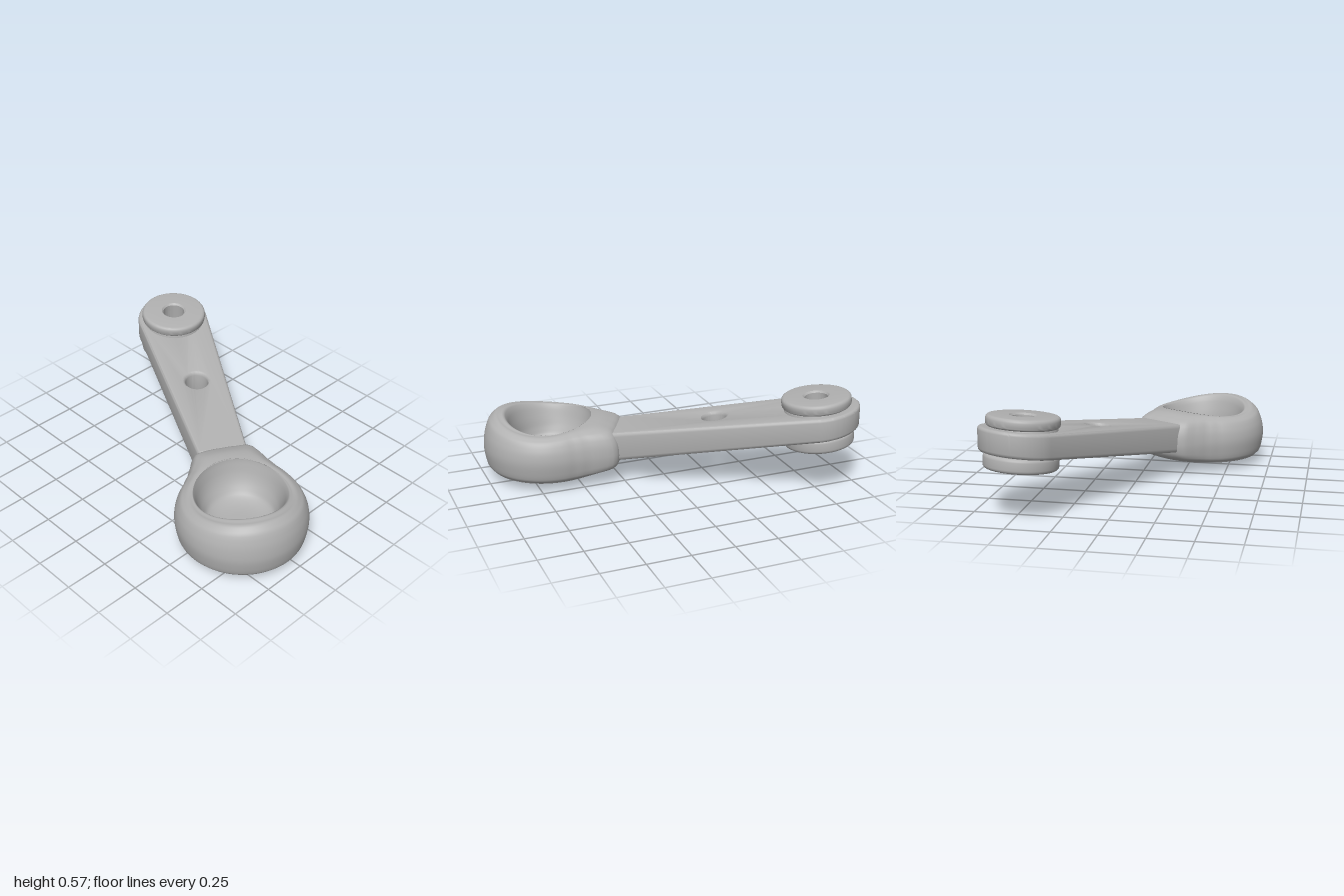
import * as THREE from 'three';
import { mergeVertices, toCreasedNormals } from 'three/addons/utils/BufferGeometryUtils.js';

const PIVOT = 1.62; // distance from the bowl centre to the pivot, along the arm (-z)

// Radius of the bowl's outline by angle from the arm, in degrees
const OUTLINE = [
  [-180, 0.37], [-50, 0.37], [-38, 0.387], [-28, 0.43], [-22, 0.475], [-19, 0.488], [-12, 0.48], [0, 0.472],
  [12, 0.482], [19, 0.5], [23, 0.495], [28, 0.462], [38, 0.405], [50, 0.376], [65, 0.37], [180, 0.37],
];

function outlineRadius(deg) {
  const i = Math.max(1, OUTLINE.findIndex(([a]) => deg <= a));
  const [a0, r0] = OUTLINE[i - 1], [a1, r1] = OUTLINE[i];
  return r0 + (r1 - r0) * (deg - a0) / (a1 - a0);
}

// Bowl: a turned profile whose outer wall is drawn out into a neck; its rim is wavy
function bowlGeometry() {
  // radius, height, share of the neck's stretch (negative: share of the hollow's shift to the arm)
  const profile = new THREE.CatmullRomCurve3([
    [0, 0.004, 0], [0.16, 0.032, 0], [0.29, 0.053, 0.1], [0.335, 0.066, 0.7], [0.36, 0.11, 1],
    [0.37, 0.185, 1], [0.363, 0.25, 1], [0.345, 0.302, 0.95], [0.312, 0.34, 0.65], [0.275, 0.35, 0],
    [0.25, 0.325, -0.8], [0.23, 0.26, -0.9], [0.205, 0.19, -0.6], [0.17, 0.145, -0.2], [0.1, 0.125, 0], [0, 0.12, 0],
  ].map((p) => new THREE.Vector3(...p)), false, 'centripetal').getPoints(75);
  const n = profile.length;
  profile[0].x = profile[n - 1].x = 0;
  const geo = new THREE.LatheGeometry(profile.map((p) => new THREE.Vector2(Math.max(p.x, 0), p.y)), 120);
  const pos = geo.attributes.position;
  for (let i = 0; i < pos.count; i++) {
    const p = profile[i % n];
    const x = pos.getX(i), z = pos.getZ(i), r = Math.hypot(x, z);
    if (r < 1e-5) continue;
    const a = Math.atan2(x, -z);
    const stretch = (outlineRadius(a * 180 / Math.PI) - 0.37) * Math.max(0, p.z);
    const shift = 0.035 * Math.max(0, -p.z);
    const wave = -0.01 * Math.cos(a) + 0.02 * Math.cos(2 * a);
    const lift = Math.max(0, (p.y - 0.2) / 0.15) * wave + (p.y < 0.2 ? stretch * 0.25 * (0.2 - p.y) / 0.13 : 0);
    pos.setXYZ(i, x * (r + stretch) / r, p.y + lift, z * (r + stretch) / r - shift);
  }
  geo.deleteAttribute('normal');
  geo.deleteAttribute('uv');
  const merged = mergeVertices(geo, 1e-4);
  merged.computeVertexNormals();
  return merged;
}

function circleHole(x, y, r) {
  return new THREE.Path().absarc(x, y, r, 0, Math.PI * 2, true);
}

// Arm: a flat bar with a round end and two holes, rising and thinning towards the pivot
function armGeometry() {
  const shape = new THREE.Shape();
  shape.moveTo(-0.138, 0.42);
  shape.lineTo(0.152, 0.42);
  shape.absarc(0, PIVOT, 0.222, -0.06, Math.PI + 0.06, false);
  shape.closePath();
  shape.holes.push(circleHole(0.003, 1.01, 0.068), circleHole(0, PIVOT, 0.085));
  const bevel = 0.14;
  const geo = new THREE.ExtrudeGeometry(shape, {
    depth: 1 - 2 * bevel, bevelThickness: bevel, bevelSize: 0.018, bevelOffset: -0.018,
    bevelSegments: 3, curveSegments: 40,
  });
  const pos = geo.attributes.position;
  for (let i = 0; i < pos.count; i++) {
    const s = pos.getY(i), h = pos.getZ(i) + bevel;
    const top = 0.328 + 0.144 * (s - 0.478);
    const bottom = 0.153 + 0.173 * (s - 0.478);
    pos.setXYZ(i, pos.getX(i), bottom + (top - bottom) * h, -s);
  }
  return toCreasedNormals(geo, 0.6);
}

// Ring with rounded outer edges and softened hole edges
function ringGeometry(outer, y0, y1, round) {
  const inner = 0.066, b = 0.01;
  const pts = [new THREE.Vector2(inner, y0 + b), new THREE.Vector2(inner + b, y0)];
  for (const [cy, from] of [[y0 + round, -Math.PI / 2], [y1 - round, 0]]) {
    for (let i = 0; i <= 4; i++) {
      const a = from + i * Math.PI / 8;
      pts.push(new THREE.Vector2(outer - round + round * Math.cos(a), cy + round * Math.sin(a)));
    }
  }
  pts.push(new THREE.Vector2(inner + b, y1), new THREE.Vector2(inner, y1 - b), pts[0].clone());
  return toCreasedNormals(new THREE.LatheGeometry(pts, 64), 0.6);
}

export function createModel() {
  const grey = new THREE.MeshStandardMaterial({ color: 0xb0b0b0 });
  grey.name = 'grey';
  const add = (parent, name, geometry) => {
    const mesh = new THREE.Mesh(geometry, grey);
    mesh.name = name;
    parent.add(mesh);
  };

  // Bowl and arm lie on one slanting line across the plan
  const lever = new THREE.Group();
  lever.name = 'lever';
  lever.position.set(-0.33, 0, 0.63);
  lever.rotation.y = -0.516;
  add(lever, 'bowl', bowlGeometry());
  add(lever, 'arm', armGeometry());

  // Pivot rings above and below the arm's end, tilted with it
  const pivot = new THREE.Group();
  pivot.name = 'pivot';
  pivot.position.set(0, 0.42, -PIVOT + 0.016);
  pivot.rotation.x = 0.1;
  add(pivot, 'upperRing', ringGeometry(0.2, 0.078, 0.14, 0.02));
  add(pivot, 'lowerRing', ringGeometry(0.204, -0.146, -0.064, 0.02));
  add(pivot, 'spacer', ringGeometry(0.188, -0.09, 0.1, 0.01));
  lever.add(pivot);

  const model = new THREE.Group();
  model.name = 'crankLever';
  model.add(lever);
  return model;
}
